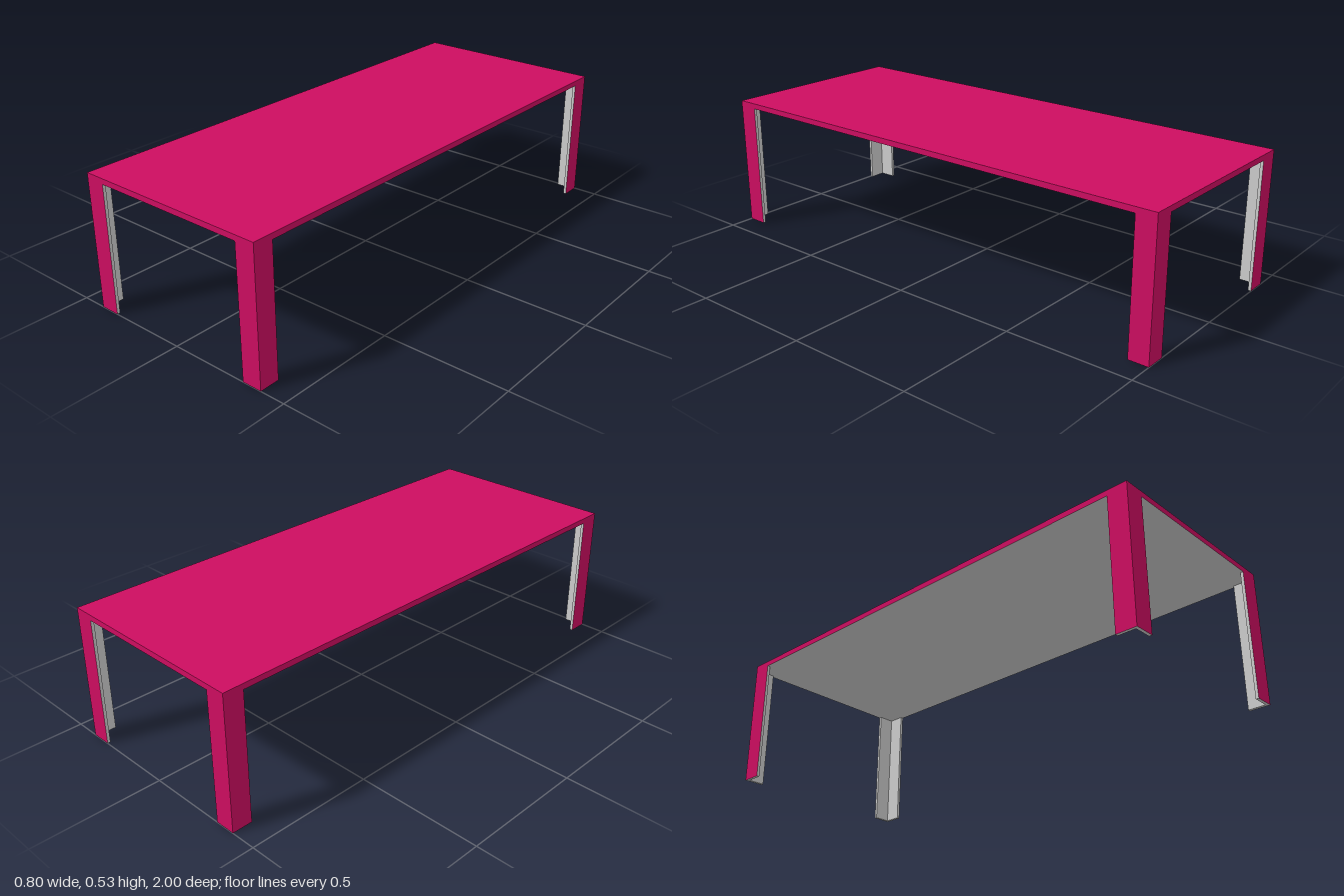
import * as THREE from 'three';

const W = 0.8, L = 2, H = 0.53, TOP = 0.022, LEG = 0.08, T = 0.012;

export function createModel() {
  const table = new THREE.Group();
  table.name = 'table';
  const pink = new THREE.MeshStandardMaterial({ color: 0xcc0d60 });
  const grey = new THREE.MeshStandardMaterial({ color: 0xcccccc });

  // Box whose listed sides are pink and whose other sides are grey
  const sides = ['+x', '-x', '+y', '-y', '+z', '-z'];
  function panel(name, size, position, pinkSides) {
    const materials = sides.map((s) => (pinkSides.includes(s) ? pink : grey));
    const mesh = new THREE.Mesh(new THREE.BoxGeometry(...size), materials);
    mesh.position.set(...position);
    mesh.name = name;
    return mesh;
  }

  // Thin top: pink above and around the rim, grey underneath
  table.add(panel('tableTop', [W, TOP, L], [0, H - TOP / 2, 0], ['+x', '-x', '+y', '+z', '-z']));

  // Four angle-section legs, open towards the middle of the table
  const legHeight = H - TOP;
  for (const sx of [-1, 1]) {
    for (const sz of [-1, 1]) {
      const leg = new THREE.Group();
      leg.name = (sz > 0 ? 'front' : 'back') + (sx > 0 ? 'Left' : 'Right') + 'Leg';
      const outX = sx > 0 ? '+x' : '-x', outZ = sz > 0 ? '+z' : '-z';
      leg.add(
        panel('sidePanel', [T, legHeight, LEG],
          [sx * (W - T) / 2, legHeight / 2, sz * (L - LEG) / 2], [outX, outZ]),
        panel('endPanel', [LEG - T, legHeight, T],
          [sx * (W / 2 - (LEG + T) / 2), legHeight / 2, sz * (L - T) / 2], [outZ]),
      );
      table.add(leg);
    }
  }
  return table;
}
